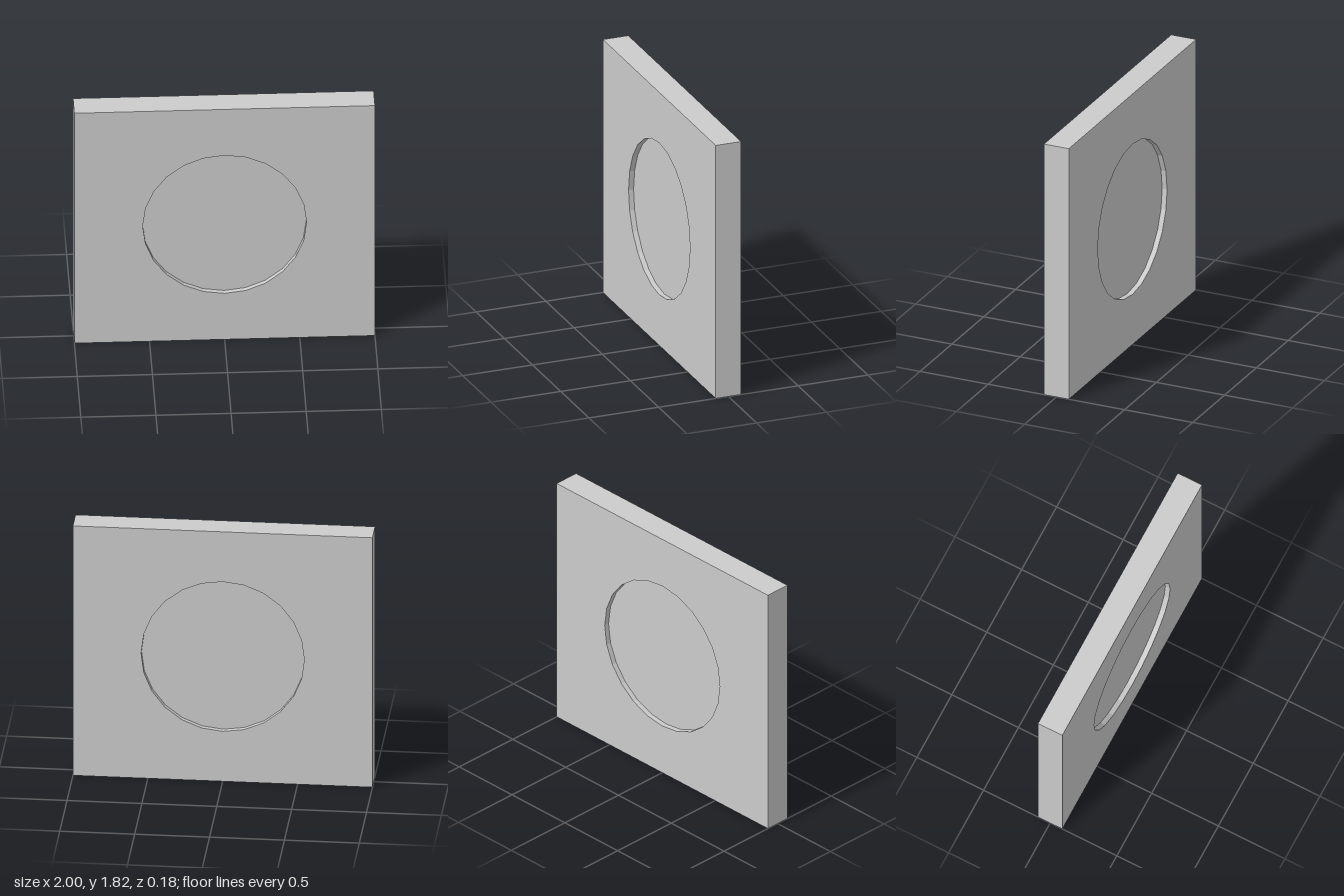
import * as THREE from 'three';

const W = 2, H = 1.818, T = 0.182;        // panel size
const R = 0.545, DEPTH = 0.036, SIDES = 24; // round recess

export function createModel() {
  const group = new THREE.Group();
  group.name = 'recessedPanel';
  const material = new THREE.MeshStandardMaterial({ color: 0xcccccc, flatShading: true });
  const wallMaterial = material.clone();
  wallMaterial.side = THREE.DoubleSide;

  const add = (parent, name, geometry, mat = material) => {
    const mesh = new THREE.Mesh(geometry, mat);
    mesh.name = name;
    parent.add(mesh);
    return mesh;
  };

  // Face outline with a 24-sided opening
  const outline = new THREE.Shape([
    new THREE.Vector2(-W / 2, -H / 2), new THREE.Vector2(W / 2, -H / 2),
    new THREE.Vector2(W / 2, H / 2), new THREE.Vector2(-W / 2, H / 2),
  ]);
  const circle = Array.from({ length: SIDES }, (_, i) => {
    const a = (i / SIDES) * Math.PI * 2;
    return new THREE.Vector2(R * Math.cos(a), R * Math.sin(a));
  });
  outline.holes.push(new THREE.Path(circle));

  // Front and back: face, recess wall and recess floor
  for (const [name, turn] of [['front', 0], ['back', Math.PI]]) {
    const side = new THREE.Group();
    side.name = name + 'Side';
    side.rotation.y = turn;
    side.position.y = H / 2;
    add(side, name + 'Face', new THREE.ShapeGeometry(outline)).position.z = T / 2;
    add(side, name + 'RecessFloor', new THREE.CircleGeometry(R, SIDES)).position.z = T / 2 - DEPTH;
    const wall = new THREE.CylinderGeometry(R, R, DEPTH, SIDES, 1, true).rotateX(Math.PI / 2);
    add(side, name + 'RecessWall', wall, wallMaterial).position.z = T / 2 - DEPTH / 2;
    group.add(side);
  }

  // Four outer edges
  for (const s of [-1, 1]) {
    const end = add(group, s > 0 ? 'leftEdge' : 'rightEdge', new THREE.PlaneGeometry(T, H));
    end.rotation.y = s * Math.PI / 2;
    end.position.set(s * W / 2, H / 2, 0);
    const cap = add(group, s > 0 ? 'topEdge' : 'bottomEdge', new THREE.PlaneGeometry(W, T));
    cap.rotation.x = -s * Math.PI / 2;
    cap.position.y = s > 0 ? H : 0;
  }
  return group;
}
